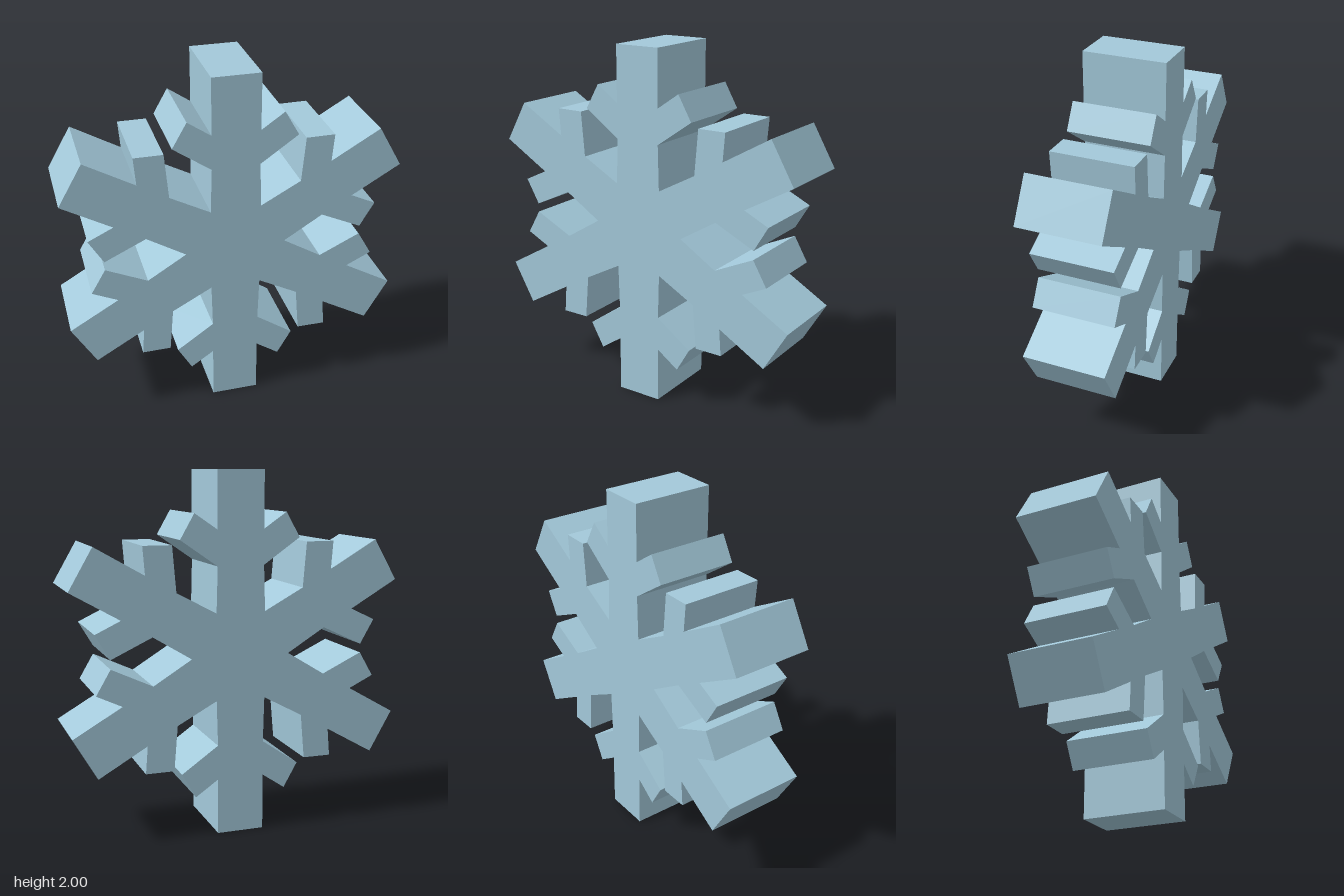
import * as THREE from 'three';

export function createModel() {
  const model = new THREE.Group();
  model.name = 'snowflake';
  const ice = new THREE.MeshStandardMaterial({ color: 0xa3c9da });
  ice.name = 'ice blue';

  // One side of an upright arm, from its tip down to the notch between arms
  const side = [
    [0.132, 1], [0.132, 0.687], [0.26, 0.775],
    [0.339, 0.637], [0.132, 0.493], [0.139, 0.241],
  ];
  // Mirrored half without the notch, which the previous arm already supplies
  const mirrored = side.slice(0, 5).reverse().map(([x, y]) => [-x, y]);
  const arm = [...mirrored, ...side];

  // Repeat the arm six times around the centre
  const outline = [];
  for (let i = 0; i < 6; i++) {
    const turn = -i * Math.PI / 3;
    for (const [x, y] of arm) {
      outline.push(new THREE.Vector2(x, y).rotateAround(new THREE.Vector2(), turn));
    }
  }

  // Thick plate, turned about the vertical axis
  const depth = 0.462;
  const geometry = new THREE.ExtrudeGeometry(new THREE.Shape(outline), { depth, bevelEnabled: false });
  geometry.translate(0, 0, -depth / 2);
  const flake = new THREE.Mesh(geometry, ice);
  flake.name = 'sixArmedFlake';
  flake.position.y = 1;
  flake.rotation.y = THREE.MathUtils.degToRad(-24.1);
  model.add(flake);
  return model;
}
